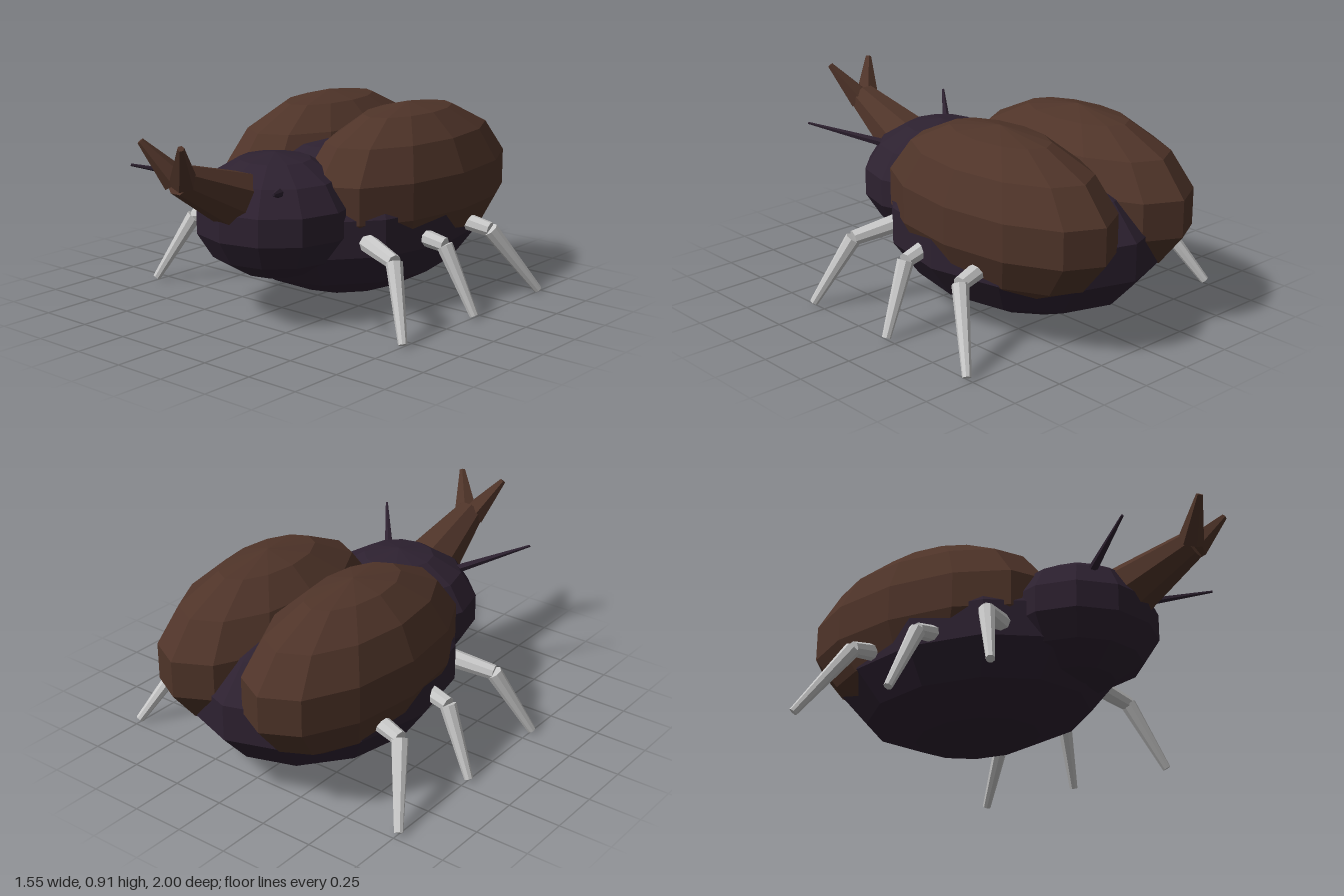
import * as THREE from 'three';

export function createModel() {
  const model = new THREE.Group();
  model.name = 'beetle';

  const material = (name, color) => {
    const m = new THREE.MeshStandardMaterial({ color, flatShading: true });
    m.name = name;
    return m;
  };
  const shellBrown = material('shellBrown', 0x4f3429);
  const bodyPurple = material('bodyPurple', 0x2d2130);
  const legGrey = material('legGrey', 0xc8c8c8);

  // Faceted ellipsoid with its poles pointing up and down
  function ellipsoid(name, mat, centre, radii) {
    const geometry = new THREE.SphereGeometry(1, 12, 7);
    geometry.scale(...radii);
    const mesh = new THREE.Mesh(geometry, mat);
    mesh.name = name;
    mesh.position.set(...centre);
    model.add(mesh);
  }

  // Tapered rod between two points
  function rod(name, mat, from, to, r0, r1, sides, parent = model) {
    const a = new THREE.Vector3(...from);
    const b = new THREE.Vector3(...to);
    const dir = b.clone().sub(a);
    const geometry = new THREE.CylinderGeometry(r1, r0, dir.length(), sides);
    geometry.rotateY(Math.PI / sides);
    const mesh = new THREE.Mesh(geometry, mat);
    mesh.name = name;
    mesh.position.copy(a).add(b).multiplyScalar(0.5);
    mesh.quaternion.setFromUnitVectors(new THREE.Vector3(0, 1, 0), dir.normalize());
    parent.add(mesh);
  }

  // Body and head
  ellipsoid('abdomen', bodyPurple, [0, 0.388, -0.26], [0.56, 0.38, 0.71]);
  ellipsoid('head', bodyPurple, [0, 0.463, 0.29], [0.38, 0.285, 0.37]);

  // Horn shaft
  rod('hornShaft', shellBrown, [0, 0.54, 0.47], [0, 0.725, 0.88], 0.15, 0.07, 8);

  // Z positions of hip, knee and foot for each pair of legs
  const legs = [
    ['front', 0.13, 0.2, 0.32],
    ['middle', -0.14, -0.165, -0.2],
    ['back', -0.48, -0.52, -0.72],
  ];

  for (const [side, s] of [['left', 1], ['right', -1]]) {
    // Wing case, horn prong and antenna
    ellipsoid(side + 'WingCase', shellBrown, [s * 0.24, 0.535, -0.365], [0.333, 0.38, 0.651]);
    rod(side + 'HornProng', shellBrown, [s * 0.02, 0.72, 0.88], [s * 0.12, 0.89, 0.985], 0.062, 0.015, 6);
    rod(side + 'Antenna', bodyPurple, [s * 0.19, 0.62, 0.47], [s * 0.425, 0.705, 0.765], 0.022, 0.006, 6);

    // Two-segment legs
    for (const [place, hipZ, kneeZ, footZ] of legs) {
      const leg = new THREE.Group();
      leg.name = side + place[0].toUpperCase() + place.slice(1) + 'Leg';
      const knee = [s * 0.61, 0.33, kneeZ];
      rod('upperLeg', legGrey, [s * 0.38, 0.375, hipZ], knee, 0.045, 0.035, 8, leg);
      rod('lowerLeg', legGrey, knee, [s * 0.755, 0.02, footZ], 0.038, 0.02, 8, leg);
      model.add(leg);
    }
  }
  return model;
}
